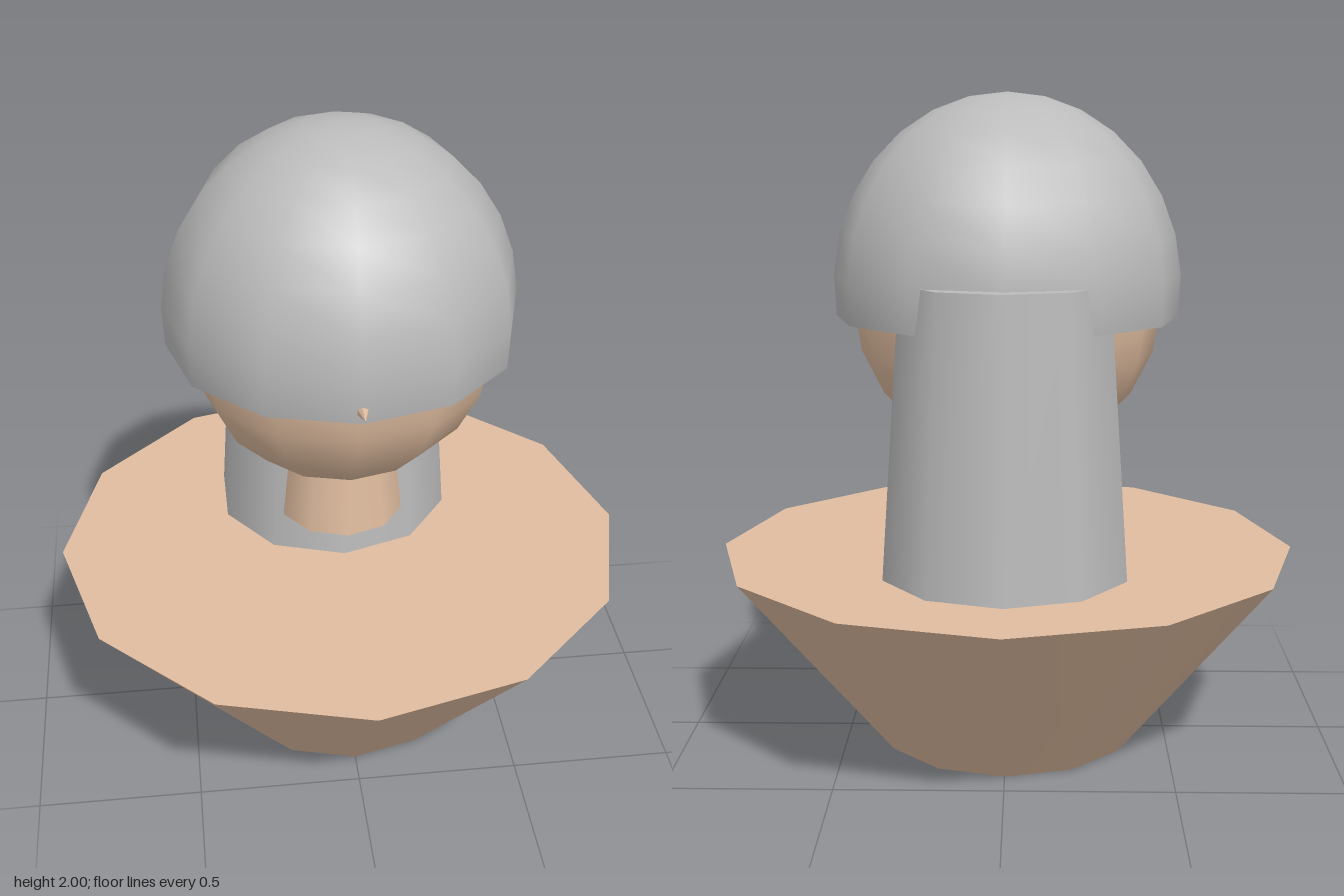
import * as THREE from 'three';

export function createModel() {
  const model = new THREE.Group();
  const skin = new THREE.MeshStandardMaterial({ name: 'skin', color: 0xdfbc9f });
  const hair = new THREE.MeshStandardMaterial({ name: 'greyHair', color: 0xbbbbbb, side: THREE.DoubleSide });

  const add = (name, geometry, material, x, y, z) => {
    const mesh = new THREE.Mesh(geometry, material);
    mesh.name = name;
    mesh.position.set(x, y, z);
    model.add(mesh);
    return mesh;
  };
  // tapered column standing between two heights
  const column = (name, topR, bottomR, y0, y1, sides, material, z) =>
    add(name, new THREE.CylinderGeometry(topR, bottomR, y1 - y0, sides), material, 0, (y0 + y1) / 2, z);

  // flared shoulders, neck and the long hair behind
  column('shoulders', 0.89, 0.4, 0, 0.6, 12, skin, 0);
  column('neck', 0.165, 0.195, 0.73, 1.0, 10, skin, 0);
  column('backHair', 0.315, 0.375, 0.6, 1.46, 10, hair, -0.265);

  // vertex of each ring faces front, as on the other parts
  const head = add('head', new THREE.SphereGeometry(1, 12, 10), skin, 0, 1.365, 0);
  head.scale.set(0.47, 0.47, 0.457);

  // open dome reaching just below its widest ring
  const dome = new THREE.SphereGeometry(1, 12, 8, 0, Math.PI * 2, 0, Math.PI * 0.55);
  const cap = add('hairCap', dome, hair, 0, 1.42, 0);
  cap.scale.set(0.529, 0.58, 0.519);

  // small pointed nose poking through the cap
  const nose = add('nose', new THREE.ConeGeometry(0.033, 0.1, 6), skin, 0, 1.367, 0.512);
  nose.rotation.x = Math.PI / 2;

  return model;
}
